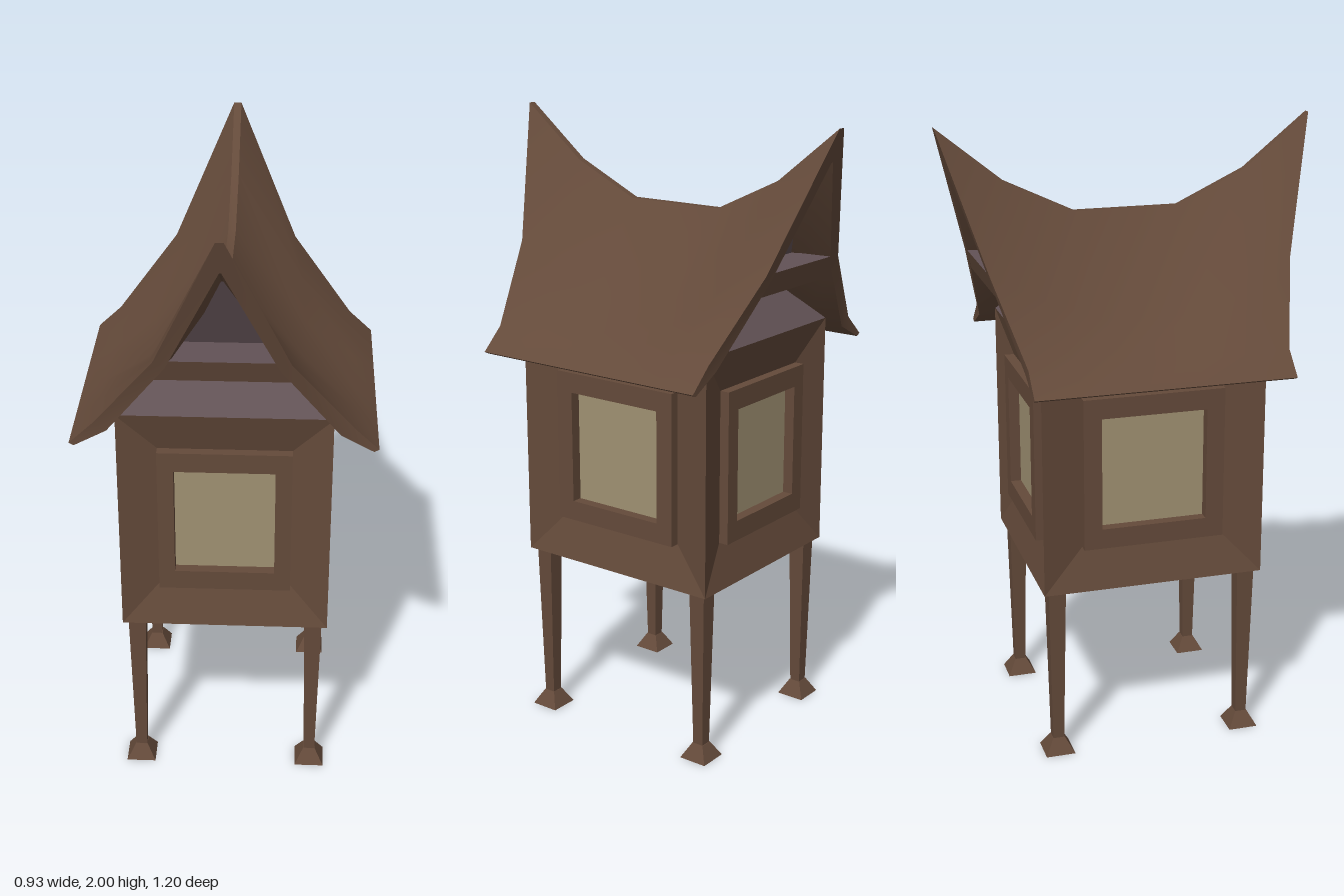
import * as THREE from 'three';
import { toCreasedNormals } from 'three/addons/utils/BufferGeometryUtils.js';

const mat = (name, color, side = THREE.FrontSide) => {
  const m = new THREE.MeshStandardMaterial({ color, side });
  m.name = name;
  return m;
};

// Geometry from a list of four-cornered faces, each counter-clockwise from outside
function quads(list, crease = 0.1) {
  const pos = [];
  for (const [a, b, c, d] of list) pos.push(...a, ...b, ...c, ...a, ...c, ...d);
  const g = new THREE.BufferGeometry();
  g.setAttribute('position', new THREE.Float32BufferAttribute(pos, 3));
  return toCreasedNormals(g, crease);
}

function add(parent, name, geometry, material) {
  const m = new THREE.Mesh(geometry, material);
  m.name = name;
  parent.add(m);
  return m;
}

// The gable ends lean outwards above the eaves
const gableZ = (y) => 0.41 + Math.max(0, y - 1.34) * 0.288;

// Saddle roof: a closed cross-section swept from the back gable to the front
function roofGeometry() {
  // u, ridge height, ridge thickness, upper bend x/y, lower bend y
  const half = [
    [0.28, 1.725, 0.05, 0.24, 1.43, 1.325],
    [0.65, 1.83, 0.06, 0.225, 1.5, 1.332],
    [1, 2, 0.1, 0.2, 1.58, 1.34],
  ];
  const section = ([, ridge, thick, bx, by, ly]) => {
    const outer = [[0.012, ridge], [bx, by], [0.39, ly], [0.465, 1.27]];
    const inner = [[0.003, ridge - thick], [bx - 0.035, by - 0.02], [0.35, ly - 0.025], [0.45, 1.262]];
    const flip = (p) => p.map(([x, y]) => [-x, y]).reverse();
    return [...flip(outer), ...outer, ...[...flip(inner), ...inner].reverse()];
  };
  const ends = section(half[2]);
  const ring = (s, sign) => section(s).map(([x, y], i) => [x, y, sign * s[0] * gableZ(ends[i][1])]);
  const rings = [...[...half].reverse().map((s) => ring(s, -1)), ...half.map((s) => ring(s, 1))];
  const faces = [];
  for (let s = 0; s < rings.length - 1; s++) {
    for (let i = 0; i < 16; i++) {
      const j = (i + 1) % 16;
      faces.push([rings[s][i], rings[s + 1][i], rings[s + 1][j], rings[s][j]]);
    }
  }
  // Barge boards closing both ends
  const back = rings[0], front = rings[rings.length - 1];
  for (let i = 0; i < 7; i++) {
    faces.push([front[i], front[15 - i], front[14 - i], front[i + 1]]);
    faces.push([back[i + 1], back[14 - i], back[15 - i], back[i]]);
  }
  return quads(faces, 0.6);
}

// One wall, sloping in to a raised frame around a sunken window
function wall(name, w, d, f, g, wood, pane) {
  const group = new THREE.Group();
  group.name = name;
  const rect = (hw, y0, y1, z) => [[-hw, y0, d + z], [hw, y0, d + z], [hw, y1, d + z], [-hw, y1, d + z]];
  const rings = [
    rect(w, 0.575, 1.34, 0),
    rect(f, 0.715, 1.21, -0.035),
    rect(f, 0.715, 1.21, -0.003),
    rect(g, 0.78, 1.145, -0.003),
    rect(g, 0.78, 1.145, -0.038),
  ];
  const between = (a, b) => a.map((p, i) => [p, a[(i + 1) % 4], b[(i + 1) % 4], b[i]]);
  add(group, 'wallBoards', quads(between(rings[0], rings[1])), wood);
  add(group, 'windowFrame', quads([1, 2, 3].flatMap((i) => between(rings[i], rings[i + 1]))), wood);
  add(group, 'windowPane', quads([rings[4]]), pane);
  return group;
}

// Gable filling: crossbeam, leaning triangle with its ledge, and lower sloped panel
function gable(name, wood, panel) {
  const group = new THREE.Group();
  group.name = name;
  const y0 = 1.515, y1 = 1.585, z0 = gableZ(y0), z1 = gableZ(y1), t = 0.03;
  const bar = (z) => [[-0.21, y0, z0 + z], [0.21, y0, z0 + z], [0.165, y1, z1 + z], [-0.165, y1, z1 + z]];
  const f = bar(0), b = bar(-t);
  add(group, 'crossbeam', quads([f, [b[1], b[0], b[3], b[2]], [b[0], b[1], f[1], f[0]]]), wood);
  add(group, 'ledge', quads([[[-0.163, y1, z1], [0.163, y1, z1], [0.148, y1, 0.35], [-0.148, y1, 0.35]]]), panel);
  const tip = [0, 1.87, 0.48];
  add(group, 'gableTriangle', quads([[[-0.15, y1, 0.35], [0.15, y1, 0.35], tip, tip]]), panel);
  add(group, 'lowerPanel', quads([[[-0.33, 1.34, 0.36], [0.33, 1.34, 0.36], [0.09, 1.57, 0.16], [-0.09, 1.57, 0.16]]]), panel);
  return group;
}

// Square tapered post
function post(top, bottom, y0, y1) {
  const g = new THREE.CylinderGeometry(top * Math.SQRT2, bottom * Math.SQRT2, y1 - y0, 4).toNonIndexed();
  g.rotateY(Math.PI / 4).translate(0, (y0 + y1) / 2, 0);
  g.computeVertexNormals();
  return g;
}

export function createModel() {
  const wood = mat('brown wood', 0x644a3a);
  const pane = mat('pale window', 0xa09172);
  const panel = mat('mauve panel', 0x625256, THREE.DoubleSide);
  const model = new THREE.Group();
  model.name = 'stiltHouse';

  add(model, 'roof', roofGeometry(), wood);

  // Walls and gables, front and back alike
  for (const [side, angle] of [['front', 0], ['back', Math.PI]]) {
    const w = wall(side + 'Wall', 0.33, 0.36, 0.208, 0.157, wood, pane);
    const g = gable(side + 'Gable', wood, panel);
    w.rotation.y = g.rotation.y = angle;
    model.add(w, g);
  }
  for (const [side, angle] of [['left', Math.PI / 2], ['right', -Math.PI / 2]]) {
    const w = wall(side + 'Wall', 0.36, 0.33, 0.228, 0.17, wood, pane);
    w.rotation.y = angle;
    model.add(w);
  }

  // Floor and ceiling
  const slab = (y) => [[-0.33, y, -0.36], [0.33, y, -0.36], [0.33, y, 0.36], [-0.33, y, 0.36]];
  add(model, 'floor', quads([slab(0.575)]), wood);
  add(model, 'ceiling', quads([slab(1.34).reverse()]), wood);

  // Four stilts on flared feet
  for (const x of [-0.285, 0.285]) {
    for (const z of [-0.315, 0.315]) {
      const leg = new THREE.Group();
      leg.name = 'leg';
      add(leg, 'stilt', post(0.028, 0.018, 0.045, 0.58), wood);
      add(leg, 'foot', post(0.02, 0.048, 0, 0.05), wood);
      leg.position.set(x, 0, z);
      model.add(leg);
    }
  }
  return model;
}
